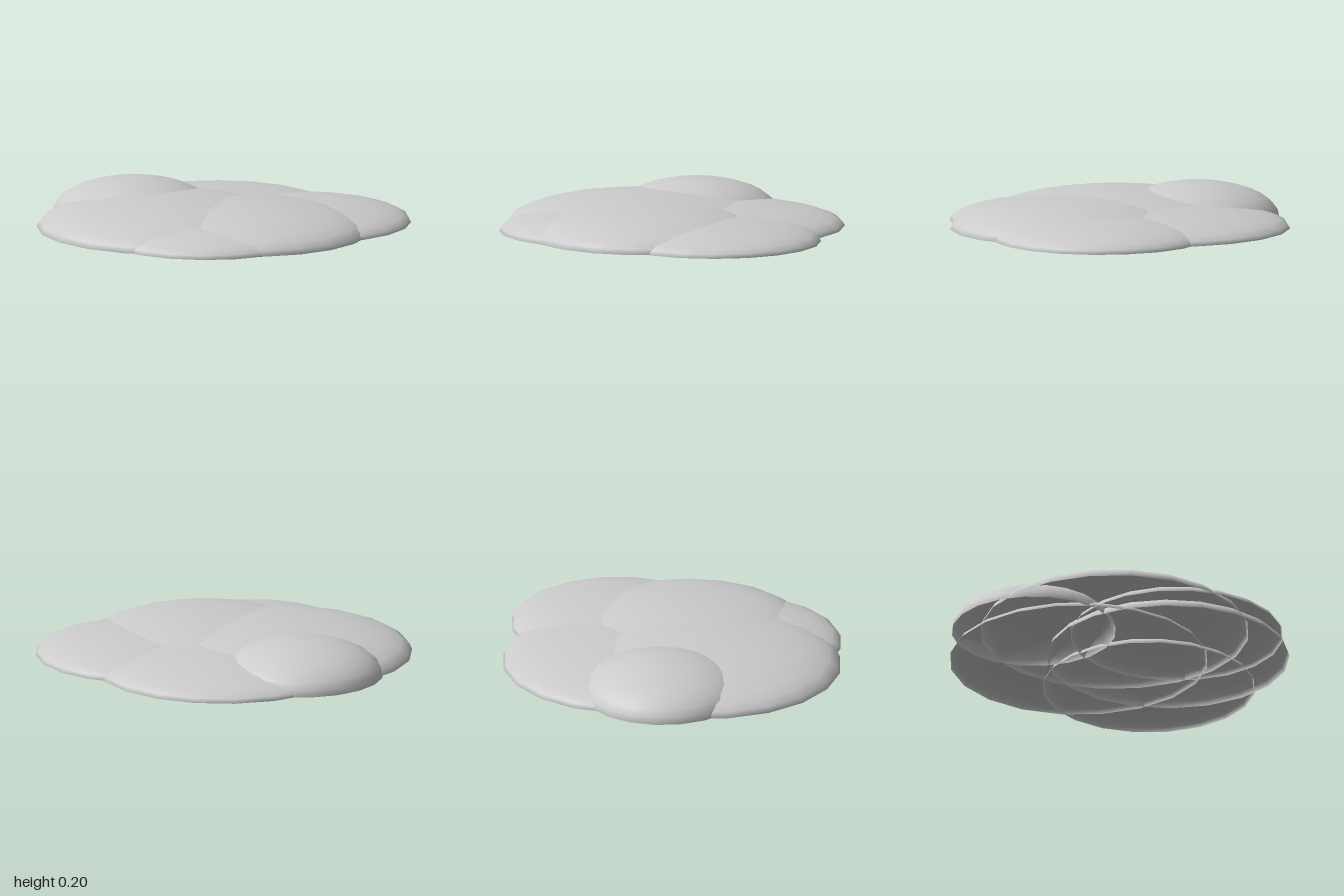
import * as THREE from 'three';

const material = new THREE.MeshStandardMaterial({ color: 0xcccccc, side: THREE.DoubleSide });

// Flattened open half-sphere resting on the ground
function dome(name, x, z, radius, height, turn = 0) {
  const geometry = new THREE.SphereGeometry(1, 20, 8, 0, Math.PI * 2, 0, Math.PI / 2);
  geometry.rotateY(turn);
  geometry.scale(radius, height, radius);
  const mesh = new THREE.Mesh(geometry, material);
  mesh.name = name;
  mesh.position.set(x, 0, z);
  return mesh;
}

export function createModel() {
  const group = new THREE.Group();
  group.name = 'lobedMound';
  const halfStep = Math.PI / 20;

  // Tall side lobe and the two large main lobes
  group.add(dome('sideLobe', -0.53, 0.02, 0.47, 0.2, 0.06));
  group.add(dome('backMainLobe', -0.13, -0.22, 0.74, 0.122));
  group.add(dome('frontMainLobe', -0.11, 0.21, 0.77, 0.165));

  // Lobes on the opposite side
  group.add(dome('middleLobe', 0.31, 0.04, 0.695, 0.16, halfStep));
  group.add(dome('backCornerLobe', 0.39, -0.38, 0.61, 0.118));
  group.add(dome('frontCornerLobe', 0.23, 0.32, 0.61, 0.121));

  return group;
}
